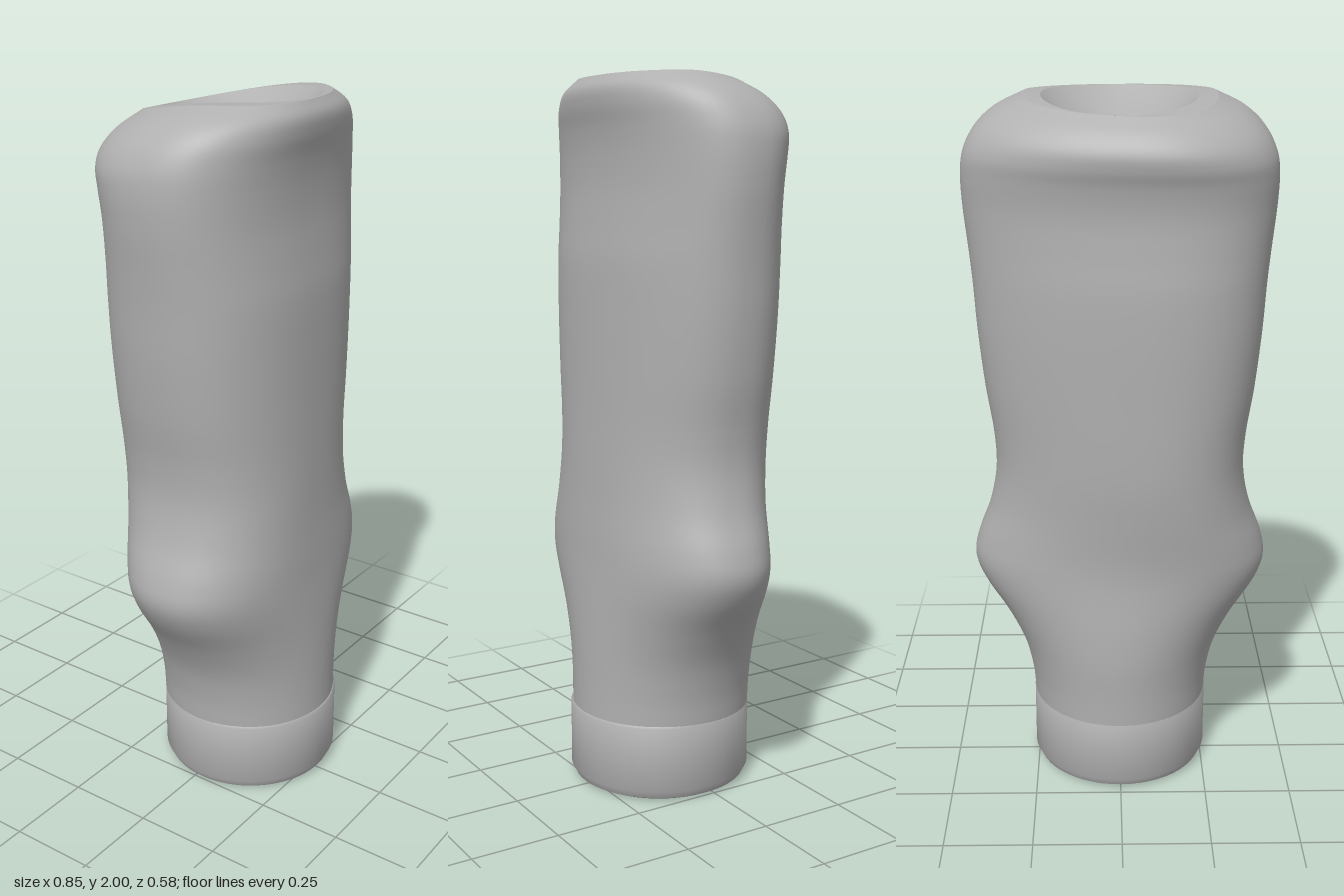
import * as THREE from 'three';
import { toCreasedNormals } from 'three/addons/utils/BufferGeometryUtils.js';

const SIDES = 72;
const TOP = 2, DISH_RADIUS = 0.21, DISH_DEPTH = 0.09;
const smooth = THREE.MathUtils.smoothstep;

// Grip profile, bottom to top: [height, half width, front z, back z]
const PROFILE = [
  [0.215, 0.258, 0.284, -0.232], [0.3, 0.266, 0.282, -0.234], [0.4, 0.29, 0.28, -0.238],
  [0.5, 0.338, 0.277, -0.236], [0.6, 0.402, 0.273, -0.23], [0.67, 0.427, 0.27, -0.228],
  [0.74, 0.415, 0.268, -0.232], [0.84, 0.378, 0.264, -0.244], [0.95, 0.357, 0.261, -0.256],
  [1.06, 0.36, 0.258, -0.262], [1.2, 0.38, 0.255, -0.266], [1.36, 0.396, 0.252, -0.27],
  [1.5, 0.405, 0.248, -0.27], [1.6, 0.414, 0.238, -0.264], [1.7, 0.424, 0.229, -0.261],
  [1.79, 0.427, 0.229, -0.272], [1.86, 0.418, 0.236, -0.286], [1.92, 0.388, 0.248, -0.288],
  [1.965, 0.338, 0.248, -0.265], [TOP, 0.262, 0.225, -0.215],
];
const curve = (pick) => new THREE.CatmullRomCurve3(PROFILE.map(pick), false, 'catmullrom');
const widthCurve = curve(([y, w, f]) => new THREE.Vector3(w, y, f));
const backCurve = curve(([y, , , b]) => new THREE.Vector3(b, y, 0));

// How far the top slopes down towards the back
const drop = (z) => 0.05 * Math.pow(Math.max(0, (0.09 - z) / 0.33), 1.5);

// Skin closed rings; point(t, angle) runs over t = 0..1
function loft(rows, point) {
  const pos = [], index = [];
  for (let i = 0; i <= rows; i++) {
    for (let j = 0; j < SIDES; j++) pos.push(...point(i / rows, (j / SIDES) * Math.PI * 2));
  }
  for (let i = 0; i < rows; i++) {
    for (let j = 0; j < SIDES; j++) {
      const k = (j + 1) % SIDES;
      const a = i * SIDES + j, b = i * SIDES + k;
      index.push(a, a + SIDES, b, b, a + SIDES, b + SIDES);
    }
  }
  const g = new THREE.BufferGeometry();
  g.setAttribute('position', new THREE.Float32BufferAttribute(pos, 3));
  g.setIndex(index);
  g.computeVertexNormals();
  return g;
}

// Lopsided oval section that becomes round towards the collar
function gripPoint(t, angle) {
  const p = widthCurve.getPoint(t), back = backCurve.getPoint(t).x;
  const shape = smooth(p.y, 0.3, 0.9);
  const power = 2 / (2 + 0.3 * shape);
  const c = Math.cos(angle), s = Math.sin(angle);
  const u = Math.sign(c) * Math.pow(Math.abs(c), power);
  const v = Math.sign(s) * Math.pow(Math.abs(s), power);
  const skew = 1 - shape * (s < 0 ? 0.2 : 0.09) * u;
  const z = (p.z + back) / 2 + ((p.z - back) / 2) * v * skew * (1 - 0.015 * shape);
  return [p.x * u, p.y - drop(z) * smooth(p.y, 1.72, 1.97), z];
}

// Point of the round dish rim, scaled by r
function rimPoint(r, angle) {
  const x = DISH_RADIUS * r * Math.cos(angle), z = DISH_RADIUS * r * Math.sin(angle);
  return [x, TOP - drop(z) - DISH_DEPTH * (1 - r * r), z];
}

export function createModel() {
  const group = new THREE.Group();
  const grey = new THREE.MeshStandardMaterial({ color: 0xb0b0b0 });
  grey.name = 'grey';
  const add = (name, geometry) => {
    const mesh = new THREE.Mesh(geometry, grey);
    mesh.name = name;
    group.add(mesh);
    return mesh;
  };

  // Sculpted grip
  add('grip', loft(114, gripPoint));

  // Sloping top around the dish
  add('topFace', loft(4, (t, a) => {
    const o = gripPoint(1, a), r = rimPoint(1, a);
    const x = o[0] + (r[0] - o[0]) * t, z = o[2] + (r[2] - o[2]) * t;
    return [x, TOP - drop(z), z];
  }));

  // Hollow dish in the top
  add('topDish', loft(14, (t, a) => rimPoint(1 - t, a)));

  // Collar with a chamfered foot and hollow underside
  const collarProfile = [
    [0, 0.05], [0.19, 0.03], [0.212, 0], [0.235, 0], [0.25, 0.008],
    [0.261, 0.03], [0.261, 0.215], [0.257, 0.221], [0.24, 0.221],
  ].map(([x, y]) => new THREE.Vector2(x, y));
  const collar = add('collar', toCreasedNormals(new THREE.LatheGeometry(collarProfile, 56), 0.6));
  collar.position.z = 0.029;

  return group;
}
